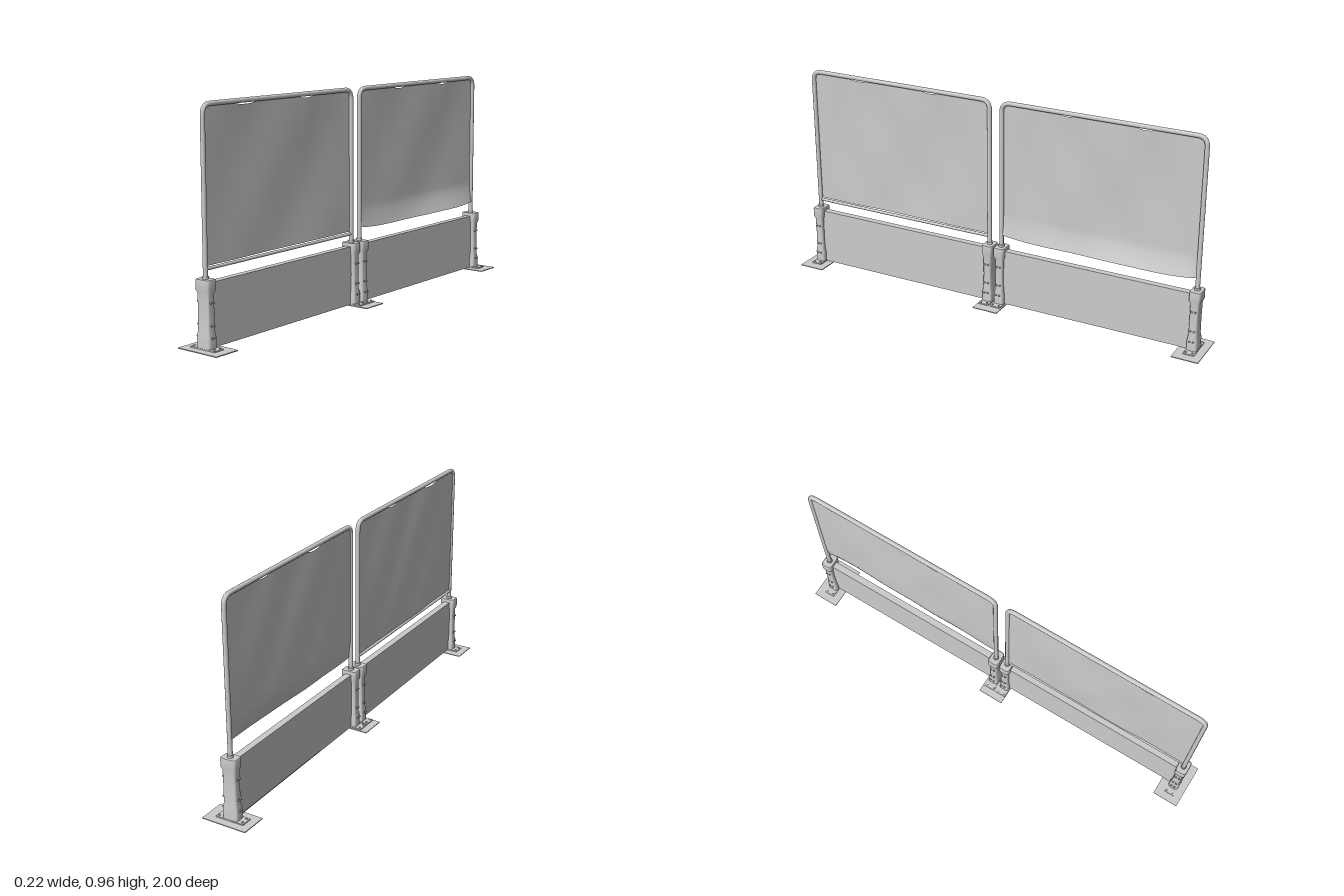
import * as THREE from 'three';

const grey = new THREE.MeshStandardMaterial({ color: 0xcccccc });
const greyDouble = new THREE.MeshStandardMaterial({ color: 0xcccccc, side: THREE.DoubleSide });

function add(parent, name, geometry, x = 0, y = 0, z = 0, material = grey) {
  const mesh = new THREE.Mesh(geometry, material);
  mesh.name = name;
  mesh.position.set(x, y, z);
  parent.add(mesh);
  return mesh;
}

// Rounded-rectangle column; rows are [height, half width x, half depth z], top first
function column(rows) {
  const n = rows.length - 1;
  const g = new THREE.CylinderGeometry(1, 1, 1, 24, n);
  const p = g.attributes.position;
  const soften = v => Math.sign(v) * Math.pow(Math.abs(v), 0.4);
  for (let i = 0; i < p.count; i++) {
    const [y, hx, hz] = rows[Math.round((0.5 - p.getY(i)) * n)];
    p.setXYZ(i, soften(p.getX(i)) * hx, y, soften(p.getZ(i)) * hz);
  }
  g.computeVertexNormals();
  return g;
}

// Post with collar, foot flange and bolts
function makePost(z) {
  const post = new THREE.Group();
  post.name = 'post';
  post.position.z = z;
  add(post, 'postBody', column([
    [0.28, 0.034, 0.024], [0.277, 0.037, 0.026], [0.238, 0.037, 0.026], [0.225, 0.031, 0.02],
    [0.14, 0.031, 0.019], [0.075, 0.032, 0.02], [0.055, 0.036, 0.024], [0.005, 0.036, 0.024],
  ]));
  add(post, 'footFlange', new THREE.BoxGeometry(0.13, 0.006, 0.05), 0, 0.006, 0);
  add(post, 'poleSocket', new THREE.CylinderGeometry(0.013, 0.013, 0.012, 16), 0, 0.284, 0);
  const bolt = new THREE.CylinderGeometry(0.004, 0.004, 0.008, 8);
  for (const s of [-1, 1]) {
    for (const [y, x] of [[0.19, 0.033], [0.1, 0.034], [0.052, 0.038]]) {
      for (const dz of [-0.008, 0.008]) {
        add(post, 'bolt', bolt, s * x, y, dz).rotation.z = Math.PI / 2;
      }
    }
    for (const dz of [-0.015, 0.015]) add(post, 'floorBolt', bolt, s * 0.055, 0.01, dz);
  }
  return post;
}

// Bent tube frame, open at the bottom
function makeFrame(z0, z1) {
  const top = 0.95, r = 0.04;
  const v = (y, z) => new THREE.Vector3(0, y, z);
  const path = new THREE.CurvePath();
  path.add(new THREE.LineCurve3(v(0.25, z0), v(top - r, z0)));
  path.add(new THREE.QuadraticBezierCurve3(v(top - r, z0), v(top, z0), v(top, z0 + r)));
  path.add(new THREE.LineCurve3(v(top, z0 + r), v(top, z1 - r)));
  path.add(new THREE.QuadraticBezierCurve3(v(top, z1 - r), v(top, z1), v(top - r, z1)));
  path.add(new THREE.LineCurve3(v(top - r, z1), v(0.25, z1)));
  return new THREE.TubeGeometry(path, 150, 0.01, 12);
}

// Stretched cloth with soft folds and sagging gaps along the top hem
function makeCloth(z0, z1, gaps, flare) {
  const g = new THREE.PlaneGeometry(1, 1, 70, 40);
  const p = g.attributes.position;
  for (let i = 0; i < p.count; i++) {
    const u = p.getX(i) + 0.5, v = p.getY(i) + 0.5;
    const z = z0 + (z1 - z0) * u;
    let sag = 0;
    for (const [c, w] of gaps) {
      const d = (z - c) / w;
      if (Math.abs(d) < 1) sag += 0.013 * (1 - d * d);
    }
    // corners follow the bend of the tube
    const corner = Math.max(0, 0.04 - (z - z0), 0.04 - (z1 - z)) / 0.04;
    const topY = 0.947 - sag - 0.036 * (1 - Math.sqrt(1 - corner * corner));
    const bottomY = 0.328 + (flare ? 0.01 * Math.pow(Math.abs(2 * u - 1), 6) : 0);
    const pin = Math.sin(Math.PI * u);
    const fold = Math.sin(9 * u + 5 * v) * 0.003 + Math.sin(17 * u - 8 * v) * 0.0015;
    const lift = flare * Math.pow(Math.max(0, 1 - v / 0.16), 1.5) * (0.4 + 0.6 * Math.sin(Math.PI * Math.sqrt(u)));
    const x = -0.003 + pin * (fold - 0.005 * Math.sin(Math.PI * v)) + lift;
    p.setXYZ(i, x, bottomY + (topY - bottomY) * v, z);
  }
  g.computeVertexNormals();
  return g;
}

export function createModel() {
  const model = new THREE.Group();
  model.name = 'barrier';

  // The whole line runs slightly askew, on square floor plates
  const line = new THREE.Group();
  line.name = 'barrierLine';
  line.position.x = -0.008;
  line.rotation.y = 0.009;
  model.add(line);

  const sections = [
    { name: 'frontSection', z0: 0.031, z1: 0.941, gaps: [[0.695, 0.09], [0.33, 0.06]], flare: 0, bar: true },
    { name: 'backSection', z0: -0.941, z1: -0.028, gaps: [[-0.33, 0.06], [-0.68, 0.06]], flare: 0.026, bar: false },
  ];
  for (const s of sections) {
    const section = new THREE.Group();
    section.name = s.name;
    const mid = (s.z0 + s.z1) / 2, length = s.z1 - s.z0;
    section.add(makePost(s.z0), makePost(s.z1));
    add(section, 'board', new THREE.BoxGeometry(0.03, 0.255, length - 0.02), 0, 0.1375, mid);
    add(section, 'boardSill', new THREE.BoxGeometry(0.024, 0.008, length - 0.02), 0, 0.008, mid);
    add(section, 'tubeFrame', makeFrame(s.z0, s.z1));
    add(section, 'cloth', makeCloth(s.z0 + 0.004, s.z1 - 0.004, s.gaps, s.flare), 0, 0, 0, greyDouble);
    if (s.bar) {
      add(section, 'lowerBar', new THREE.CylinderGeometry(0.007, 0.007, length, 12), 0, 0.318, mid).rotation.x = Math.PI / 2;
    }
    line.add(section);
  }

  // Thin floor plates
  for (const [x, z] of [[0.005, 0.94], [-0.003, 0], [-0.012, -0.94]]) {
    add(model, 'floorPlate', new THREE.BoxGeometry(0.207, 0.004, 0.12), x, 0.002, z);
  }
  return model;
}
